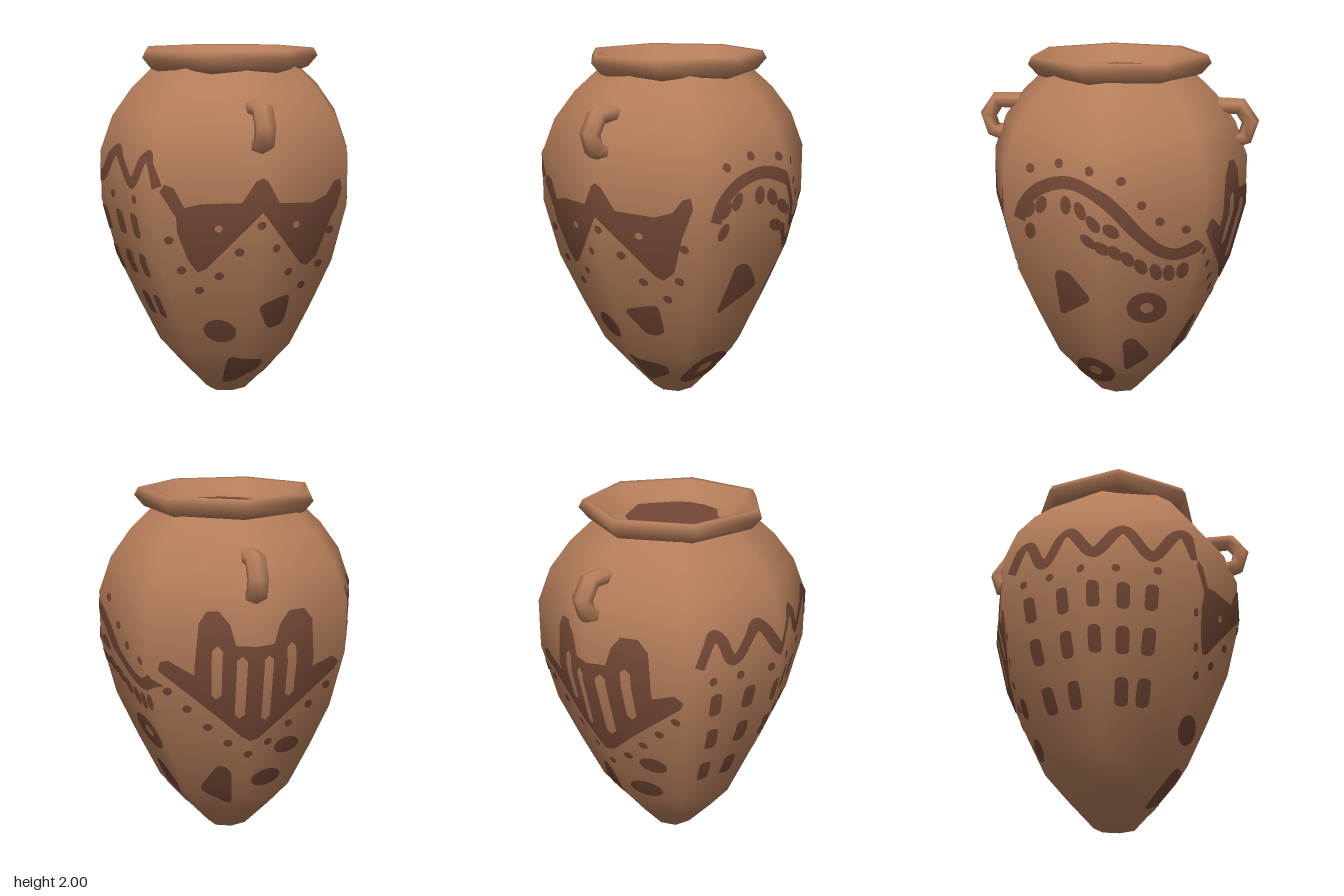
import * as THREE from 'three';
import { ParametricGeometry } from 'three/addons/geometries/ParametricGeometry.js';

const V2 = (x, y) => new THREE.Vector2(x, y);
const lerp = THREE.MathUtils.lerp;

// Body profile [radius, height]; the body has eight sides, its odd corners a little further out
const PROFILE = [[0.001, 0], [0.12, 0.02], [0.27, 0.185], [0.4, 0.34], [0.525, 0.6], [0.64, 0.86],
  [0.72, 1.18], [0.72, 1.45], [0.65, 1.64], [0.54, 1.79], [0.4, 1.92]];
const ODD = 1.04;
const RING_NORMALS = PROFILE.map((p, i) => {
  const a = PROFILE[Math.max(i - 1, 0)], b = PROFILE[Math.min(i + 1, PROFILE.length - 1)];
  return i === 0 ? V2(0, -1) : V2(b[1] - a[1], a[0] - b[0]).normalize();
});

function bandAt(y) {
  let i = 0;
  while (i < PROFILE.length - 2 && y > PROFILE[i + 1][1]) i++;
  const t = (y - PROFILE[i][1]) / (PROFILE[i + 1][1] - PROFILE[i][1]);
  return { i, t, r: lerp(PROFILE[i][0], PROFILE[i + 1][0], t) };
}

// Point and smooth normal on the body: u counts sides round from the front, y is height
function surface(u, y, lift) {
  const k = Math.floor(u), f = u - k, { i, t, r } = bandAt(y);
  const corner = j => [Math.sin(j * Math.PI / 4), Math.cos(j * Math.PI / 4), Math.abs(j % 2) ? ODD : 1];
  const a = corner(k), b = corner(k + 1);
  const n = RING_NORMALS[i].clone().lerp(RING_NORMALS[i + 1], t);
  const normal = new THREE.Vector3(lerp(a[0], b[0], f) * n.x, n.y, lerp(a[1], b[1], f) * n.x).normalize();
  const point = new THREE.Vector3(r * lerp(a[0] * a[2], b[0] * b[2], f), y, r * lerp(a[1] * a[2], b[1] * b[2], f));
  return { point: point.addScaledVector(normal, lift), normal };
}

// Keep the part of a polygon where sign * (p[axis] - limit) >= 0
function clip(poly, axis, limit, sign) {
  const out = [];
  poly.forEach((p, i) => {
    const q = poly[(i + 1) % poly.length];
    const dp = sign * (p[axis] - limit), dq = sign * (q[axis] - limit);
    if (dp >= 0) out.push(p);
    if (dp * dq < 0) out.push(p.clone().lerp(q, dp / (dp - dq)));
  });
  return out;
}

// Lay flat outlines in (u, y) on the body, cut along its edges
function patch(outlines, lift) {
  const pos = [], nor = [];
  for (const { contour, holes = [] } of outlines) {
    const all = [...contour, ...holes.flat()];
    for (const face of THREE.ShapeUtils.triangulateShape(contour, holes)) {
      let tri = face.map(i => all[i]);
      if (THREE.ShapeUtils.area(tri) < 0) tri = tri.reverse();
      const us = tri.map(p => p.x);
      for (let k = Math.floor(Math.min(...us)); k < Math.max(...us); k++) {
        const strip = clip(clip(tri, 'x', k, 1), 'x', k + 1, -1);
        for (let b = 0; b < PROFILE.length - 1; b++) {
          const cell = clip(clip(strip, 'y', PROFILE[b][1], 1), 'y', PROFILE[b + 1][1], -1);
          for (let i = 1; i < cell.length - 1; i++) {
            for (const p of [cell[0], cell[i], cell[i + 1]]) {
              const s = surface(p.x, p.y, lift);
              pos.push(...s.point.toArray());
              nor.push(...s.normal.toArray());
            }
          }
        }
      }
    }
  }
  const g = new THREE.BufferGeometry();
  g.setAttribute('position', new THREE.Float32BufferAttribute(pos, 3));
  g.setAttribute('normal', new THREE.Float32BufferAttribute(nor, 3));
  return g;
}

// Map a flat drawing seen square on at side `centre` to (u, y)
const facing = centre => p => {
  const s = p.x / bandAt(p.y).r, m = Math.min(Math.abs(s), 0.995), c = ODD * Math.SQRT1_2;
  return V2(centre + Math.sign(s) * (m < c ? m / c : 1 + (m - c) / (1 - c)), p.y);
};
// Map a drawing wrapped round the body, measured along the girth
const wrapped = centre => p => V2(centre + p.x / (0.78 * bandAt(p.y).r), p.y);

const points = list => list.map(([x, y]) => V2(x, y));
const oval = (x, y, rx, ry = rx, turn = 0, n = 16) => ({
  contour: Array.from({ length: n }, (_, i) => V2(rx * Math.cos(i / n * 2 * Math.PI), ry * Math.sin(i / n * 2 * Math.PI))
    .rotateAround(V2(0, 0), turn).add(V2(x, y))),
});
const dots = list => list.map(([x, y]) => oval(x, y, 0.024, 0.024, 0, 10));
const ring = (x, y, r, hole) => ({ contour: oval(x, y, r).contour, holes: [oval(x, y, hole).contour] });
// Polygon with every corner rounded
function pebble(list, cut = 0.045) {
  const c = points(list);
  return { contour: c.flatMap((p, i) => {
    const toward = q => p.clone().lerp(q, Math.min(0.45, cut / p.distanceTo(q)));
    const a = toward(c[(i + c.length - 1) % c.length]), b = toward(c[(i + 1) % c.length]);
    return new THREE.QuadraticBezierCurve(a, p, b).getPoints(4);
  }) };
}
// Brush stroke of even width along a smooth line
function stroke(list, width, n) {
  const mid = new THREE.SplineCurve(points(list)).getPoints(n), left = [], right = [];
  mid.forEach((p, i) => {
    const d = mid[Math.min(i + 1, n)].clone().sub(mid[Math.max(i - 1, 0)]).normalize().multiplyScalar(width / 2);
    left.push(V2(p.x - d.y, p.y + d.x));
    right.unshift(V2(p.x + d.y, p.y - d.x));
  });
  return { contour: [...left, ...right] };
}

export function createModel() {
  const clay = new THREE.MeshStandardMaterial({ color: 0xb57d5a, side: THREE.DoubleSide });
  clay.name = 'clay';
  const paint = new THREE.MeshStandardMaterial({ color: 0x744836, side: THREE.DoubleSide });
  paint.name = 'darkPaint';
  const group = new THREE.Group();
  group.name = 'paintedPot';
  const add = (name, geometry, material, z = -0.01) => {
    const mesh = new THREE.Mesh(geometry, material);
    mesh.name = name;
    mesh.position.z = z;
    group.add(mesh);
  };
  const addPaint = (name, map, shapes) => add(name, patch(shapes.map(s => ({
    contour: s.contour.map(map), holes: (s.holes || []).map(h => h.map(map)),
  })), 0.003), paint);

  // Eight-sided body
  add('body', patch([{ contour: points([[0, 0], [8, 0], [8, 1.92], [0, 1.92]]) }], 0), clay);

  // Seven-sided rim with the mouth sloping inwards
  const rim = [[0.4, 1.875], [0.46, 1.897], [0.512, 1.957], [0.49, 2], [0.455, 1.995], [0.36, 1.915], [0.3, 1.9], [0.001, 1.9]];
  add('rim', new THREE.LatheGeometry(points(rim), 7, Math.PI), clay);
  const mouth = new THREE.ShapeGeometry(new THREE.Shape(points([[0, 0.315], [-0.23, 0.17], [-0.28, 0.07], [-0.29, -0.06],
    [-0.17, -0.17], [-0.11, -0.25], [0, -0.28], [0.1, -0.27], [0.17, -0.23], [0.3, -0.06], [0.22, 0.13], [0.2, 0.17]])));
  mouth.rotateX(-Math.PI / 2).translate(0, 1.909, 0);
  add('mouthOpening', mouth, paint);

  // Angular six-sided loop handles at the front and back
  const path = new THREE.CatmullRomCurve3([[1.722, 0.55], [1.722, 0.685], [1.64, 0.742], [1.555, 0.715], [1.54, 0.66]]
    .map(([y, z]) => new THREE.Vector3(0, y, z)));
  const handle = () => new ParametricGeometry((u, v, target) => {
    const p = path.getPoint(v), t = path.getTangent(v), a = (u + 1 / 12) * 2 * Math.PI;
    const c = 0.057 * Math.cos(a), s = 0.048 * Math.sin(a);
    target.set(c, p.y + s * t.z, p.z - s * t.y);
  }, 6, 4);
  add('frontHandle', handle(), clay, 0);
  add('backHandle', handle().rotateY(Math.PI), clay, 0);

  // Front: zigzag crown, dots and pebbles
  addPaint('frontPattern', facing(0), [
    { contour: points([[-0.5, 1.3], [-0.475, 1.34], [-0.43, 1.32], [-0.38, 1.22], [-0.3, 1.24], [-0.1, 1.25], [-0.035, 1.36],
      [0, 1.38], [0.03, 1.36], [0.1, 1.24], [0.3, 1.22], [0.39, 1.25], [0.44, 1.32], [0.48, 1.33], [0.49, 1.27], [0.43, 1.12],
      [0.36, 0.91], [0.3, 0.86], [0.26, 0.88], [0, 1.2], [-0.26, 0.88], [-0.3, 0.86], [-0.35, 0.93], [-0.41, 1.08], [-0.42, 1.17]]),
      holes: [-0.21, 0.21].map(x => oval(x, 1.11, 0.02, 0.02, 0, 10).contour) },
    ...dots([[0, 1.13], [-0.45, 1.04], [0.43, 1.05], [-0.1, 0.98], [0.1, 0.99], [-0.38, 0.87], [0.38, 0.86],
      [-0.19, 0.84], [0.19, 0.84], [-0.28, 0.75], [0.29, 0.74]]),
    oval(-0.15, 0.49, 0.09, 0.07, -0.5),
    pebble([[0.03, 0.65], [0.23, 0.7], [0.215, 0.5], [0.12, 0.48]]),
    pebble([[-0.085, 0.32], [0.14, 0.26], [0.13, 0.19], [-0.07, 0.085]]),
  ]);

  // Left side: wave with petals below and dots above
  const petals = [[-0.38, 1.25, 0.5], [-0.31, 1.285, 0.4], [-0.17, 1.3, 0], [-0.09, 1.28, -0.4], [-0.02, 1.22, -0.7],
    [0.07, 1.18, -0.8], [-0.38, 1.13, 0.2], [-0.05, 1.12, -0.9], [0.02, 1.085, -0.8], [0.085, 1.055, -0.6], [0.145, 1.015, -0.5],
    [0.21, 0.965, -0.4], [0.285, 0.93, -0.2], [0.35, 0.92, 0], [0.42, 0.93, 0.3]];
  addPaint('wavePattern', facing(2), [
    stroke([[-0.44, 1.19], [-0.4, 1.29], [-0.3, 1.38], [-0.15, 1.42], [0, 1.37], [0.1, 1.28], [0.2, 1.16], [0.3, 1.06],
      [0.4, 1.03], [0.51, 1.08]], 0.068, 36),
    ...petals.map(([x, y, turn]) => oval(x, y, 0.031, 0.05, -turn, 12)),
    ...dots([[-0.37, 1.47], [-0.21, 1.51], [-0.04, 1.49], [0.12, 1.44], [0.22, 1.31], [0.31, 1.22], [0.44, 1.17]]),
    pebble([[-0.255, 0.92], [-0.17, 0.92], [-0.05, 0.76], [-0.25, 0.61]]),
    ring(0.23, 0.7, 0.105, 0.035),
    ring(-0.09, 0.22, 0.115, 0.04),
    pebble([[0.08, 0.23], [0.09, 0.48], [0.15, 0.5], [0.235, 0.36]]),
  ]);

  // Back: two-humped comb with open slots, dots and pebbles
  const slot = ([x, y0, y1]) => points([[x - 0.026, y1], [x, y1 + 0.025], [x + 0.026, y1], [x + 0.028, y0], [x, y0 - 0.025], [x - 0.022, y0]]);
  addPaint('backPattern', facing(4), [
    { contour: points([[-0.47, 1.19], [-0.43, 1.2], [-0.3, 1.12], [-0.28, 1.4], [-0.24, 1.465], [-0.18, 1.465], [-0.13, 1.4],
      [-0.1, 1.29], [0.1, 1.29], [0.13, 1.39], [0.18, 1.455], [0.27, 1.455], [0.32, 1.39], [0.33, 1.13], [0.45, 1.17], [0.49, 1.13],
      [0.47, 1.09], [0.05, 0.74], [0, 0.73], [-0.05, 0.76], [-0.48, 1.14]]),
      holes: [[-0.19, 1.01, 1.26], [-0.07, 0.9, 1.21], [0.07, 0.88, 1.21], [0.2, 1, 1.26]].map(slot) },
    ...dots([[-0.43, 1.02], [-0.33, 0.92], [-0.22, 0.81], [-0.11, 0.71], [0, 0.64], [0.11, 0.7], [0.22, 0.8], [0.33, 0.9], [0.43, 1]]),
    oval(0.23, 0.65, 0.075, 0.055),
    oval(0.13, 0.44, 0.09, 0.06),
    pebble([[-0.145, 0.56], [-0.075, 0.52], [-0.045, 0.25], [-0.235, 0.37]]),
  ]);

  // Right side: meander above columns of dashes
  const turns = [[5.27, 1.46], [5.48, 1.34], [5.74, 1.47], [6.03, 1.33], [6.32, 1.46], [6.6, 1.33], [6.88, 1.46]];
  const meander = [[5.1, 1.32], ...turns.flatMap(([u, y]) => [[u - 0.05, y], [u + 0.05, y]]), [7.03, 1.32]];
  const dashes = [5.3, 5.68, 6.02, 6.32, 6.6].flatMap((u, i) => [1.08, 0.85, 0.6].filter(y => y > 0.7 || i !== 2)
    .map(y => pebble([[-0.036, 0.07], [0.036, 0.07], [0.036, -0.07], [-0.036, -0.07]]
      .map(([x, dy]) => [(u - 6) * 0.78 * bandAt(y + dy).r + x, y + dy]), 0.03)));
  addPaint('meanderPattern', wrapped(6), [
    stroke(meander.map(([u, y]) => [(u - 6) * 0.56, y]), 0.062, 120),
    ...dots([5.25, 5.55, 5.9, 6.25, 6.65].map(u => [(u - 6) * 0.56, 1.23])),
    ...dashes,
  ]);
  return group;
}
